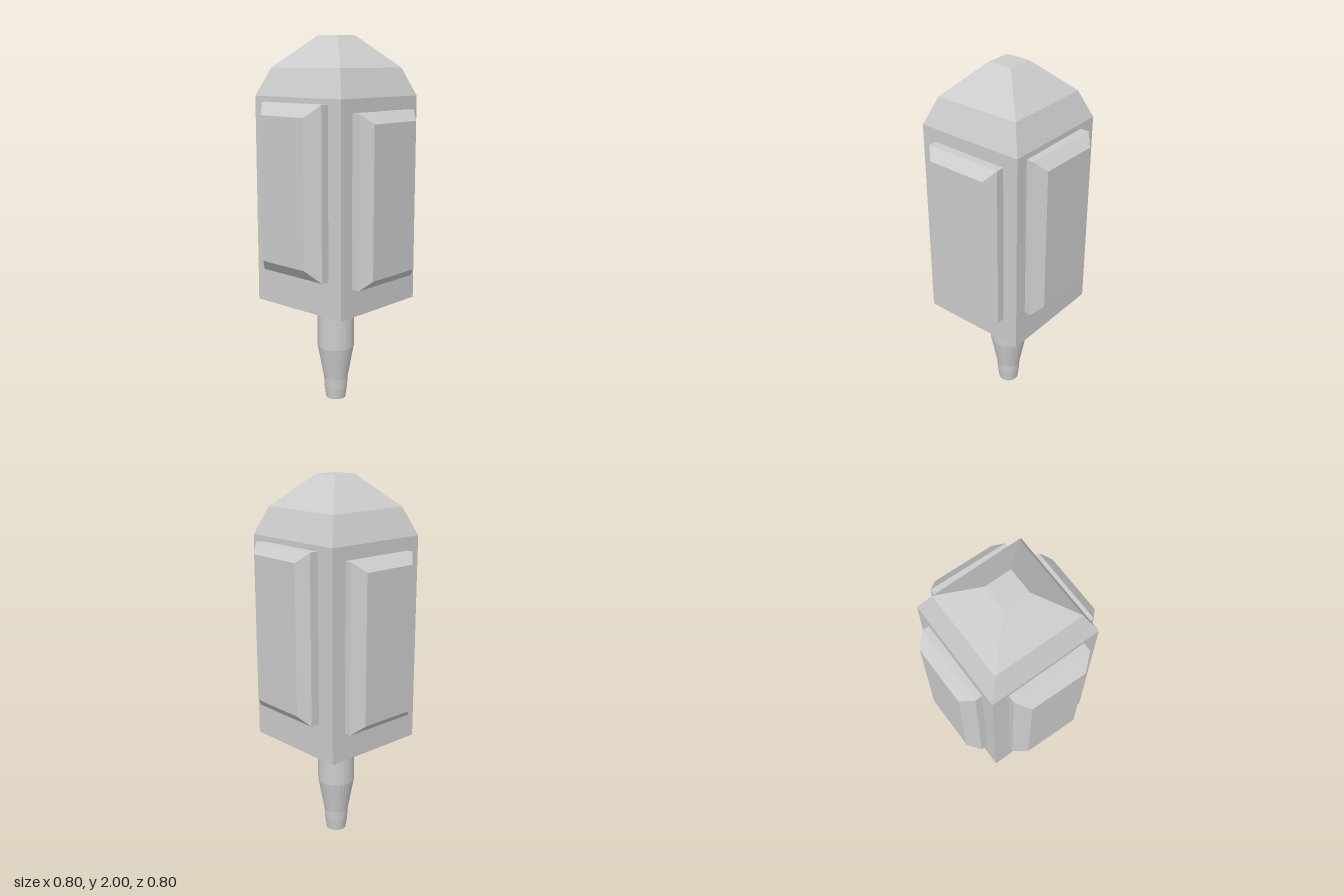
import * as THREE from 'three';

// Closed solid through rectangular rings [x0, x1, y0, y1, z], ordered by rising z
function loftRects(rings) {
  const corners = rings.map(([x0, x1, y0, y1, z]) => [[x0, y0, z], [x1, y0, z], [x1, y1, z], [x0, y1, z]]);
  const pos = [];
  const quad = (a, b, c, d) => pos.push(...a, ...b, ...c, ...a, ...c, ...d);
  const first = corners[0], last = corners[corners.length - 1];
  quad(first[3], first[2], first[1], first[0]);
  quad(last[0], last[1], last[2], last[3]);
  for (let r = 0; r + 1 < corners.length; r++) {
    for (let i = 0; i < 4; i++) {
      const j = (i + 1) % 4;
      quad(corners[r][i], corners[r][j], corners[r + 1][j], corners[r + 1][i]);
    }
  }
  const g = new THREE.BufferGeometry();
  g.setAttribute('position', new THREE.Float32BufferAttribute(pos, 3));
  g.computeVertexNormals();
  return g;
}

export function createModel() {
  const model = new THREE.Group();
  model.name = 'pointedBlockOnPeg';
  const grey = new THREE.MeshStandardMaterial({ color: 0xcccccc });
  grey.name = 'light grey';

  const add = (name, geometry) => {
    const mesh = new THREE.Mesh(geometry, grey);
    mesh.name = name;
    model.add(mesh);
    return mesh;
  };

  // Square body with a two-stage tapered roof
  const body = loftRects([
    [-0.305, 0.303, -0.293, 0.306, 0.58],
    [-0.305, 0.303, -0.293, 0.306, 1.69],
    [-0.245, 0.243, -0.232, 0.247, 1.835],
    [-0.071, 0.069, -0.061, 0.076, 2.0],
  ]);
  body.rotateX(-Math.PI / 2);
  add('body', body);

  // Bevelled panels: yaw, tilt, outer x range, inner x range, outer y, inner y, rim and face distance
  const panels = [
    ['frontPanel', 0, -0.022, [-0.215, 0.217], [-0.154, 0.153], [0.772, 1.662], [0.838, 1.60], 0.335, 0.397],
    ['backPanel', Math.PI, -0.022, [-0.234, 0.199], [-0.185, 0.144], [0.772, 1.662], [0.825, 1.61], 0.35, 0.40],
    ['leftPanel', Math.PI / 2, 0, [-0.21, 0.222], [-0.158, 0.175], [0.73, 1.62], [0.78, 1.568], 0.348, 0.40],
    ['rightPanel', -Math.PI / 2, 0, [-0.222, 0.21], [-0.168, 0.152], [0.73, 1.62], [0.782, 1.568], 0.342, 0.40],
  ];
  for (const [name, yaw, tilt, ox, ix, oy, iy, rim, face] of panels) {
    const g = loftRects([
      [...ox, ...oy, -0.07],
      [...ox, ...oy, 0],
      [...ix, ...iy, face - rim],
    ]);
    g.rotateY(tilt);
    g.translate(0, 0, rim);
    g.rotateY(yaw);
    add(name, g);
  }

  // Round tapered peg, closed at both ends
  const profile = [[0, 0], [0.055, 0], [0.064, 0.065], [0.067, 0.12], [0.102, 0.305], [0.102, 0.59], [0, 0.59]];
  const peg = new THREE.LatheGeometry(profile.map(([r, y]) => new THREE.Vector2(r, y)), 24).toNonIndexed();
  peg.computeVertexNormals();
  peg.translate(-0.002, 0, -0.004);
  add('peg', peg);

  return model;
}
